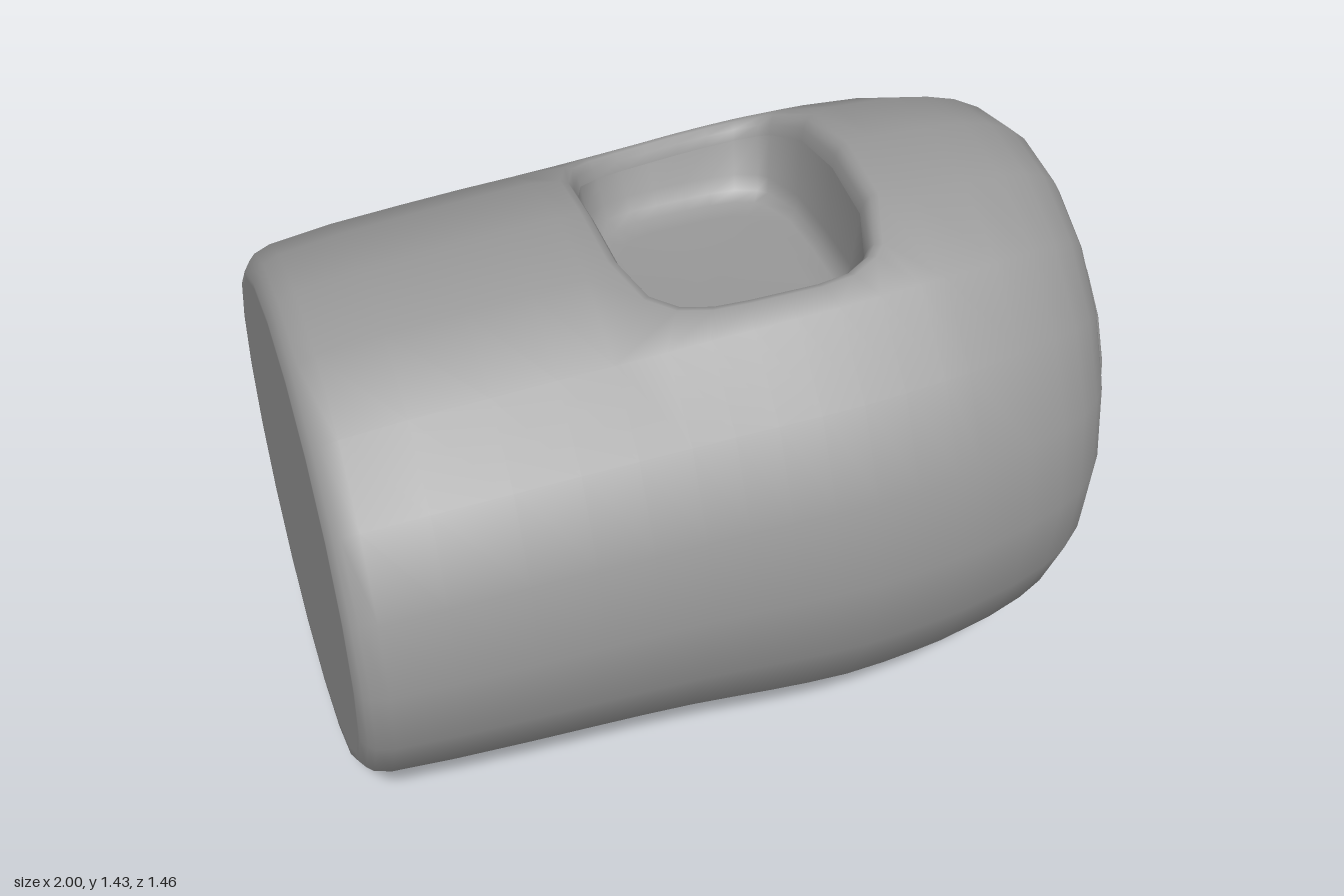
import * as THREE from 'three';
import { toCreasedNormals } from 'three/addons/utils/BufferGeometryUtils.js';

const SEG = 20;    // points around the body
const HALF = 2;    // segments either side of the top line left open for the pocket

// Body cross-sections: x, bottom y, top y, half depth
const SECTIONS = [
  [-1, 0.69, 0.69, 0], [-1, 0.135, 1.235, 0.625], [-1, 0.118, 1.252, 0.642], [-0.985, 0.092, 1.276, 0.658],
  [-0.97, 0.077, 1.293, 0.67], [-0.93, 0.065, 1.31, 0.682], [-0.78, 0.058, 1.333, 0.695],
  [-0.6, 0.052, 1.35, 0.703], [-0.45, 0.047, 1.363, 0.707], [-0.32, 0.042, 1.372, 0.71],
  [-0.2, 0.034, 1.382, 0.713], [-0.1, 0.022, 1.392, 0.716], [0, 0.011, 1.402, 0.721],
  [0.1, 0.004, 1.412, 0.727], [0.2, 0, 1.42, 0.73], [0.3, 0.004, 1.427, 0.727], [0.4, 0.012, 1.432, 0.72],
  [0.46, 0.018, 1.434, 0.714], [0.6, 0.038, 1.434, 0.688], [0.7, 0.056, 1.425, 0.655],
  [0.77, 0.075, 1.41, 0.62], [0.83, 0.107, 1.383, 0.57], [0.87, 0.148, 1.349, 0.52],
  [0.9, 0.2, 1.3, 0.465], [0.92, 0.26, 1.24, 0.415], [0.935, 0.325, 1.18, 0.37], [0.945, 0.37, 1.13, 0.33],
];
const PATCH_START = SECTIONS.findIndex(s => s[0] === -0.32);
const PATCH_END = SECTIONS.findIndex(s => s[0] === 0.46);

// Elliptical ring for one cross-section, starting at the top and turning towards +z
function ring([x, bottom, top, depth]) {
  return Array.from({ length: SEG }, (_, j) => {
    const t = (j / SEG) * Math.PI * 2;
    return new THREE.Vector3(x, (top + bottom) / 2 + (top - bottom) / 2 * Math.cos(t), depth * Math.sin(t));
  });
}

// Height of the upper body surface at x, z
function topHeight(x, z) {
  const i = SECTIONS.findIndex(s => s[0] > x);
  const a = SECTIONS[i - 1], b = SECTIONS[i];
  const f = (x - a[0]) / (b[0] - a[0]);
  const [, low, high, depth] = a.map((v, k) => v + (b[k] - v) * f);
  return (high + low) / 2 + (high - low) / 2 * Math.sqrt(1 - (z / depth) ** 2);
}

// Triangles between successive closed loops, optionally skipping some cells
function skin(loops, skip = () => false) {
  const out = [], tri = new THREE.Triangle();
  const add = (a, b, c) => {
    tri.set(a, b, c);
    if (tri.getArea() > 1e-9) for (const p of [a, b, c]) out.push(p.x, p.y, p.z);
  };
  for (let i = 0; i < loops.length - 1; i++) {
    const n = loops[i].length;
    for (let j = 0; j < n; j++) {
      if (skip(i, j)) continue;
      const k = (j + 1) % n;
      add(loops[i][j], loops[i][k], loops[i + 1][k]);
      add(loops[i][j], loops[i + 1][k], loops[i + 1][j]);
    }
  }
  return out;
}

// Edge of the opening left in the body grid, on existing grid points
function openingEdge(rings) {
  const at = (i, j) => rings[i][(j + SEG) % SEG];
  const edge = [];
  for (let i = PATCH_START; i < PATCH_END; i++) edge.push(at(i, HALF));
  for (let j = HALF; j > -HALF; j--) edge.push(at(PATCH_END, j));
  for (let i = PATCH_END; i > PATCH_START; i--) edge.push(at(i, -HALF));
  for (let j = -HALF; j < HALF; j++) edge.push(at(PATCH_START, j));
  return edge;
}

// Rounded-rectangle loop inside the opening, slightly wider towards +x
function pocketLoop(edge, a, b, height) {
  const cx = 0.065, power = 4;
  return edge.map(p => {
    const u = (p.x - cx) / 0.39, v = p.z / 0.43;
    const r = (Math.abs(u) ** power + Math.abs(v) ** power) ** (1 / power);
    const x = cx + a * u / r, z = b * (v / r) * (1 + 0.05 * u / r);
    return new THREE.Vector3(x, height(x, z), z);
  });
}

function makeMesh(name, positions, crease) {
  const geometry = new THREE.BufferGeometry();
  geometry.setAttribute('position', new THREE.Float32BufferAttribute(positions, 3));
  const mesh = new THREE.Mesh(toCreasedNormals(geometry, crease),
    new THREE.MeshStandardMaterial({ color: 0x989898 }));
  mesh.name = name;
  return mesh;
}

export function createModel() {
  const model = new THREE.Group();
  model.name = 'roundedBarrel';

  // Body shell with a fitted surround that rolls over into the pocket
  const rings = SECTIONS.map(ring);
  const inOpening = (i, j) => i >= PATCH_START && i < PATCH_END && (j < HALF || j >= SEG - HALF);
  const edge = openingEdge(rings);
  const sunk = depth => (x, z) => topHeight(x, z) - depth;
  const lip = [
    edge,
    pocketLoop(edge, 0.33, 0.375, sunk(0)),
    pocketLoop(edge, 0.312, 0.362, sunk(0.008)),
    pocketLoop(edge, 0.3, 0.35, sunk(0.03)),
    pocketLoop(edge, 0.294, 0.342, sunk(0.06)),
  ];
  model.add(makeMesh('body', [...skin(rings, inOpening), ...skin(lip)], 1.1));

  // Recessed pocket: sloping wall and filleted floor
  const pocket = [
    lip[lip.length - 1],
    pocketLoop(edge, 0.284, 0.315, () => 1.2),
    pocketLoop(edge, 0.275, 0.295, () => 1.165),
    pocketLoop(edge, 0.255, 0.272, () => 1.145),
    pocketLoop(edge, 0.2, 0.22, () => 1.14),
    pocketLoop(edge, 0, 0, () => 1.14),
  ];
  model.add(makeMesh('pocket', skin(pocket), 1.1));

  // Raised oval cap on the rounded end, with a small fillet at its foot
  const cap = [
    [0.932, 0.31, 1.19, 0.38], [0.944, 0.337, 1.163, 0.362], [0.958, 0.348, 1.152, 0.354],
    [0.972, 0.358, 1.142, 0.345], [0.985, 0.385, 1.115, 0.322], [0.995, 0.44, 1.06, 0.273],
    [1, 0.5, 1, 0.22], [1, 0.53, 0.97, 0.195], [1, 0.75, 0.75, 0],
  ].map(ring);
  model.add(makeMesh('endCap', skin(cap), 1.1));

  return model;
}
